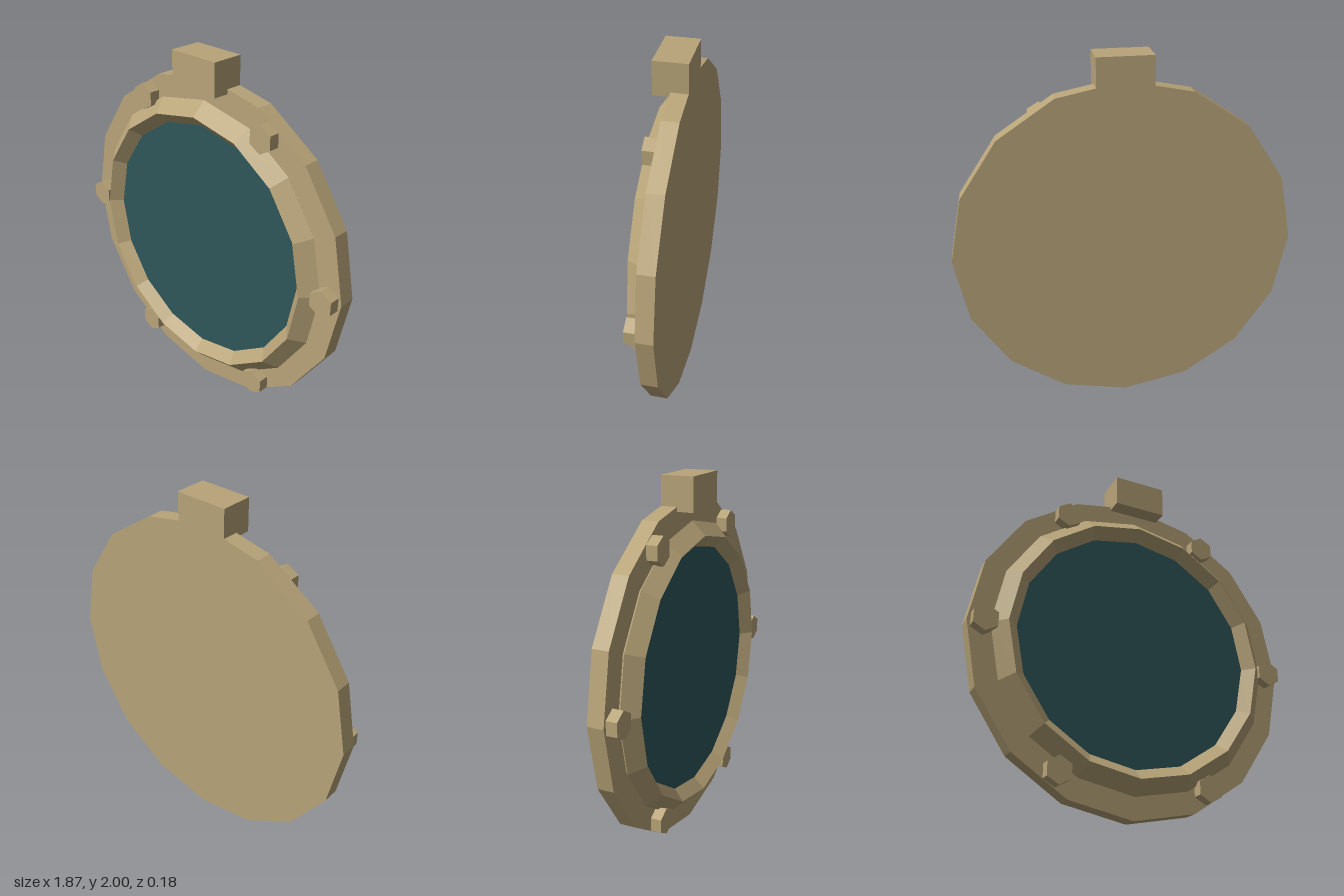
import * as THREE from 'three';

const CENTRE_Y = 0.94;
const SIDES = 16;

export function createModel() {
  const model = new THREE.Group();
  model.name = 'roundWindow';
  const brass = new THREE.MeshStandardMaterial({ color: 0xb8a478, flatShading: true });
  const glass = new THREE.MeshStandardMaterial({ color: 0x2e575b, flatShading: true });

  const add = (name, geometry, material, x, y, z) => {
    const mesh = new THREE.Mesh(geometry, material);
    mesh.name = name;
    mesh.position.set(x, y, z);
    model.add(mesh);
    return mesh;
  };
  // Prism whose axis runs along z, with a corner pointing straight down
  const disc = (radius, depth, sides) =>
    new THREE.CylinderGeometry(radius, radius, depth, sides).rotateX(Math.PI / 2);

  // Flat backing plate
  add('backPlate', disc(0.935, 0.09, SIDES), brass, 0, CENTRE_Y, -0.045);

  // Raised rim with a diamond cross-section
  add('rim', new THREE.TorusGeometry(0.74, 0.075, 4, SIDES), brass, 0, CENTRE_Y, 0.015);

  // Glass pane set inside the rim
  add('glassPane', disc(0.685, 0.03, SIDES), glass, 0, CENTRE_Y, 0.015);

  // Six hexagonal bolts around the flange
  const boltGeometry = disc(0.075, 0.06, 6);
  for (let i = 0; i < 6; i++) {
    const a = (i * Math.PI) / 3;
    add(`bolt${i + 1}`, boltGeometry, brass, 0.85 * Math.cos(a), CENTRE_Y + 0.85 * Math.sin(a), 0.03);
  }

  // Hinge block at the top
  add('hingeBlock', new THREE.BoxGeometry(0.3, 0.18, 0.18), brass, 0, 1.91, 0);

  return model;
}
